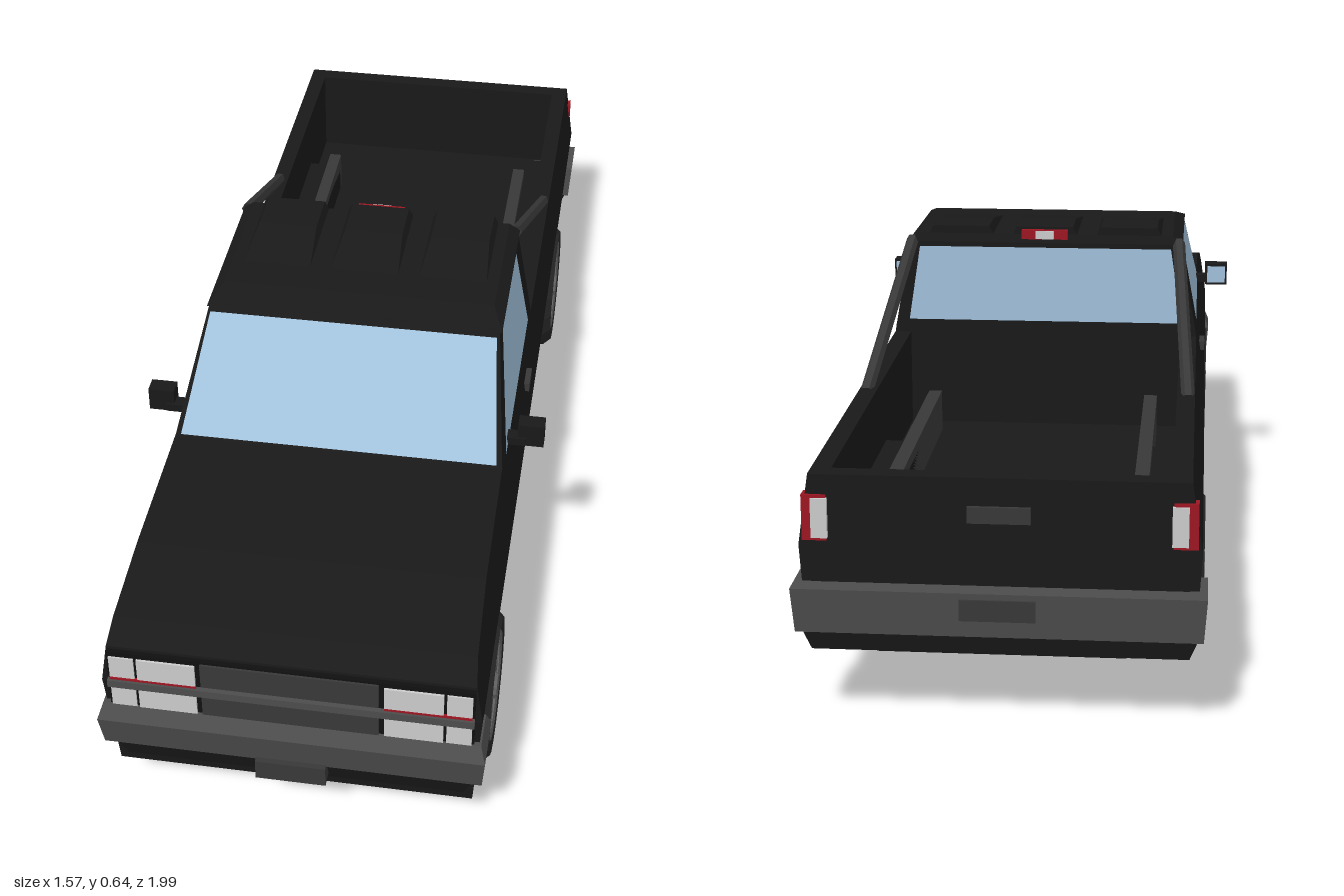
import * as THREE from 'three';

const mat = (color) => new THREE.MeshStandardMaterial({ color, flatShading: true, side: THREE.DoubleSide });
const M = {
  body: mat(0x191919), under: mat(0x101010), trim: mat(0x383838), steel: mat(0x4c4c4c),
  tyre: mat(0x262626), rim: mat(0x606060), glass: mat(0xa0c0da), lamp: mat(0xc4c4c4), red: mat(0x9c1622),
};
const WHEEL_Y = 0.137, FRONT = 0.705, REAR = -0.535;

function add(parent, name, geo, material) {
  const m = new THREE.Mesh(geo, material);
  m.name = name;
  parent.add(m);
  return m;
}

// Box given by its limits on each axis
function box(parent, name, material, x0, x1, y0, y1, z0, z1) {
  const g = new THREE.BoxGeometry(x1 - x0, y1 - y0, z1 - z0);
  g.translate((x0 + x1) / 2, (y0 + y1) / 2, (z0 + z1) / 2);
  return add(parent, name, g, material);
}

// Symmetric tapered block: [y, halfWidth, zBack, zFront] at bottom and top
function frustum(parent, name, material, low, high) {
  const g = new THREE.BoxGeometry(2, 2, 2), p = g.attributes.position;
  for (let i = 0; i < p.count; i++) {
    const [y, w, zb, zf] = p.getY(i) > 0 ? high : low;
    p.setXYZ(i, p.getX(i) * w, y, p.getZ(i) > 0 ? zf : zb);
  }
  return add(parent, name, g, material);
}

// Flat pane from four corners
function pane(parent, name, material, corners) {
  const g = new THREE.BufferGeometry();
  g.setAttribute('position', new THREE.Float32BufferAttribute(corners.flat(), 3));
  g.setIndex([0, 1, 2, 0, 2, 3]);
  g.computeVertexNormals();
  return add(parent, name, g, material);
}

// Outer body width factor by height: widest at y = 0.3
const flank = (y) => (y > 0.3 ? 1 - (y - 0.3) * 0.47 : 1 - (0.3 - y) * 0.2);

// Side profile of [z, y] points extruded across x, following the flank curve
function profile(parent, name, material, pts, x0, x1) {
  const shape = new THREE.Shape(pts.map(([z, y]) => new THREE.Vector2(-z, y)));
  const g = new THREE.ExtrudeGeometry(shape, { depth: x1 - x0, bevelEnabled: false });
  g.rotateY(Math.PI / 2).translate(x0, 0, 0);
  const p = g.attributes.position;
  for (let i = 0; i < p.count; i++) {
    if (Math.abs(p.getX(i)) > 0.29) p.setX(i, p.getX(i) * flank(p.getY(i)));
  }
  return add(parent, name, g, material);
}

// Wheel opening, listed from back to front
function arch(z) {
  const pts = [];
  for (let i = 0; i <= 10; i++) {
    const a = Math.PI * (1 - i / 10);
    pts.push([z + 0.155 * Math.cos(a), WHEEL_Y + 0.152 * Math.sin(a)]);
  }
  return pts;
}

function makeWheel(z) {
  const w = new THREE.Group();
  w.name = 'wheel';
  const tyre = [[0.1, 0.05], [0.122, 0.055], [0.137, 0.038], [0.137, -0.038], [0.122, -0.055], [0.09, -0.055], [0, -0.04]];
  add(w, 'tyre', new THREE.LatheGeometry(tyre.map(([r, y]) => new THREE.Vector2(r, y)), 18), M.tyre);
  add(w, 'rimDish', new THREE.CylinderGeometry(0.1, 0.1, 0.05, 18).translate(0, 0.012, 0), M.trim);
  add(w, 'rimRing', new THREE.TorusGeometry(0.094, 0.009, 5, 18).rotateX(Math.PI / 2).translate(0, 0.045, 0), M.rim);
  add(w, 'hub', new THREE.CylinderGeometry(0.022, 0.03, 0.02, 10).translate(0, 0.046, 0), M.rim);
  for (let i = 0; i < 10; i++) {
    const g = new THREE.BoxGeometry(0.072, 0.012, 0.026).translate(0.056, 0.042, 0);
    add(w, 'spoke', g.rotateY((i * Math.PI) / 5), M.rim);
  }
  w.rotation.z = -Math.PI / 2;
  w.position.set(0.267, WHEEL_Y, z);
  return w;
}

// Everything that repeats on both sides, made for the left
function makeSide() {
  const s = new THREE.Group();
  s.name = 'sideParts';
  s.add(makeWheel(FRONT), makeWheel(REAR));

  // Cargo bed wall and wheel housing
  profile(s, 'bedSideLower', M.body, [[-0.932, 0.15], ...arch(REAR), [-0.03, 0.14], [-0.03, 0.3], [-0.932, 0.3]], 0.268, 0.318);
  profile(s, 'bedSideUpper', M.body, [[-0.932, 0.3], [-0.03, 0.3], [-0.03, 0.425], [-0.932, 0.418]], 0.268, 0.318);
  box(s, 'wheelHousing', M.body, 0.2, 0.27, 0.24, 0.3, REAR - 0.17, REAR + 0.17);
  box(s, 'bedRailBox', M.trim, 0.2, 0.225, 0.235, 0.32, -0.72, -0.09);
  profile(s, 'rockerPanel', M.trim, [[0.53, 0.1], [0.53, 0.14], [-0.05, 0.14], [-0.12, 0.155], [-0.39, 0.155], [-0.39, 0.122], [-0.12, 0.122], [-0.05, 0.1]], 0.25, 0.312);

  // Brace bar from the roof to the bed wall
  const bar = new THREE.LineCurve3(new THREE.Vector3(0.262, 0.612, -0.025), new THREE.Vector3(0.288, 0.415, -0.45));
  add(s, 'braceBar', new THREE.TubeGeometry(bar, 1, 0.012, 6), M.trim);

  // Side window, handle and mirror
  const gx = (y) => 0.3 - (y - 0.44) * 0.19;
  const at = (y, z) => [gx(y), y, z];
  pane(s, 'sideWindow', M.glass, [at(0.447, 0.03), at(0.447, 0.44), at(0.6, 0.275), at(0.6, 0.03)]);
  box(s, 'doorHandle', M.trim, 0.3, 0.316, 0.365, 0.383, 0.1, 0.15);
  box(s, 'mirrorArm', M.body, 0.285, 0.33, 0.445, 0.46, 0.385, 0.41);
  box(s, 'mirrorHousing', M.body, 0.315, 0.362, 0.442, 0.487, 0.375, 0.405);
  box(s, 'mirrorGlass', M.glass, 0.32, 0.358, 0.447, 0.482, 0.371, 0.376);

  // Headlamps, two rows with an outer marker
  for (const [y0, y1] of [[0.25, 0.295], [0.315, 0.36]]) {
    box(s, 'headlamp', M.lamp, 0.157, 0.255, y0, y1, 0.93, 0.952);
    box(s, 'markerLamp', M.lamp, 0.26, 0.302, y0, y1, 0.92, 0.951);
  }
  box(s, 'lampRedStrip', M.red, 0.157, 0.302, 0.309, 0.315, 0.93, 0.953);

  // Tail lamps
  box(s, 'tailLamp', M.red, 0.272, 0.311, 0.31, 0.385, -0.938, -0.915);
  box(s, 'reverseLamp', M.lamp, 0.27, 0.296, 0.315, 0.38, -0.942, -0.92);
  return s;
}

export function createModel() {
  const model = new THREE.Group();
  model.name = 'pickupTruck';
  const truck = new THREE.Group();
  truck.name = 'truck';
  model.add(truck);

  const left = makeSide(), right = left.clone();
  right.scale.x = -1;
  truck.add(left, right);

  // Chassis, axles and bed floor
  box(truck, 'chassis', M.under, -0.2, 0.2, 0.11, 0.235, -0.9, 0.92);
  box(truck, 'floorPan', M.under, -0.29, 0.29, 0.108, 0.15, -0.37, 0.53);
  for (const z of [FRONT, REAR]) {
    add(truck, 'axle', new THREE.CylinderGeometry(0.02, 0.02, 0.5, 8).rotateZ(Math.PI / 2).translate(0, WHEEL_Y, z), M.trim);
  }
  box(truck, 'bedFloor', M.body, -0.27, 0.27, 0.215, 0.24, -0.92, -0.03);

  // Front body: doors, fenders and hood
  profile(truck, 'lowerBody', M.body, [[-0.03, 0.135], ...arch(FRONT), [0.88, 0.095], [0.93, 0.095], [0.945, 0.3], [-0.03, 0.3]], -0.318, 0.318);
  profile(truck, 'hoodAndDoors', M.body, [[-0.03, 0.3], [0.945, 0.3], [0.94, 0.375], [0.9, 0.405], [0.75, 0.434], [0.49, 0.448], [-0.03, 0.442]], -0.318, 0.318);

  // Cab with sloping windscreen
  frustum(truck, 'cab', M.body, [0.44, 0.297, -0.03, 0.49], [0.612, 0.266, -0.03, 0.295]);
  frustum(truck, 'roof', M.body, [0.61, 0.27, -0.035, 0.3], [0.626, 0.25, -0.03, 0.24]);
  for (const x of [-0.165, 0, 0.165]) {
    const rib = frustum(truck, 'roofRib', M.body, [0.622, 0.065, -0.03, 0.2], [0.641, 0.055, -0.03, 0.06]);
    rib.position.x = x;
  }
  pane(truck, 'windscreen', M.glass, [[-0.285, 0.453, 0.481], [0.285, 0.453, 0.481], [0.262, 0.605, 0.309], [-0.262, 0.605, 0.309]]);
  pane(truck, 'rearWindow', M.glass, [[0.27, 0.452, -0.034], [-0.27, 0.452, -0.034], [-0.247, 0.6, -0.034], [0.247, 0.6, -0.034]]);
  box(truck, 'highBrakeLamp', M.red, -0.045, 0.045, 0.618, 0.636, -0.042, -0.02);
  box(truck, 'cargoLamp', M.lamp, -0.018, 0.018, 0.619, 0.635, -0.045, -0.02);

  // Grille
  box(truck, 'grilleBack', M.under, -0.306, 0.306, 0.245, 0.37, 0.93, 0.948);
  for (const [y0, y1] of [[0.25, 0.295], [0.315, 0.365]]) {
    box(truck, 'grillePanel', M.trim, -0.148, 0.148, y0, y1, 0.935, 0.952);
  }
  box(truck, 'grilleBar', M.steel, -0.306, 0.306, 0.296, 0.311, 0.935, 0.957);

  // Front bumper
  frustum(truck, 'frontBumper', M.steel, [0.16, 0.322, 0.875, 0.955], [0.225, 0.327, 0.87, 0.968]);
  frustum(truck, 'frontBumperTop', M.steel, [0.225, 0.327, 0.87, 0.968], [0.25, 0.318, 0.88, 0.95]);
  frustum(truck, 'frontValance', M.body, [0.092, 0.285, 0.88, 0.925], [0.162, 0.305, 0.88, 0.95]);
  box(truck, 'frontPlate', M.trim, -0.06, 0.06, 0.125, 0.165, 0.93, 0.966);

  // Tailgate and rear bumper
  box(truck, 'tailgate', M.body, -0.299, 0.299, 0.17, 0.418, -0.934, -0.9);
  box(truck, 'tailgateHandle', M.trim, -0.05, 0.05, 0.345, 0.372, -0.94, -0.93);
  frustum(truck, 'rearBumper', M.steel, [0.165, 0.322, -0.962, -0.87], [0.24, 0.327, -0.97, -0.87]);
  frustum(truck, 'rearValance', M.body, [0.128, 0.3, -0.94, -0.88], [0.168, 0.315, -0.95, -0.87]);
  box(truck, 'rearPlate', M.trim, -0.06, 0.06, 0.195, 0.23, -0.972, -0.95);

  // The truck stands diagonally
  truck.rotation.y = -0.548;
  return model;
}
